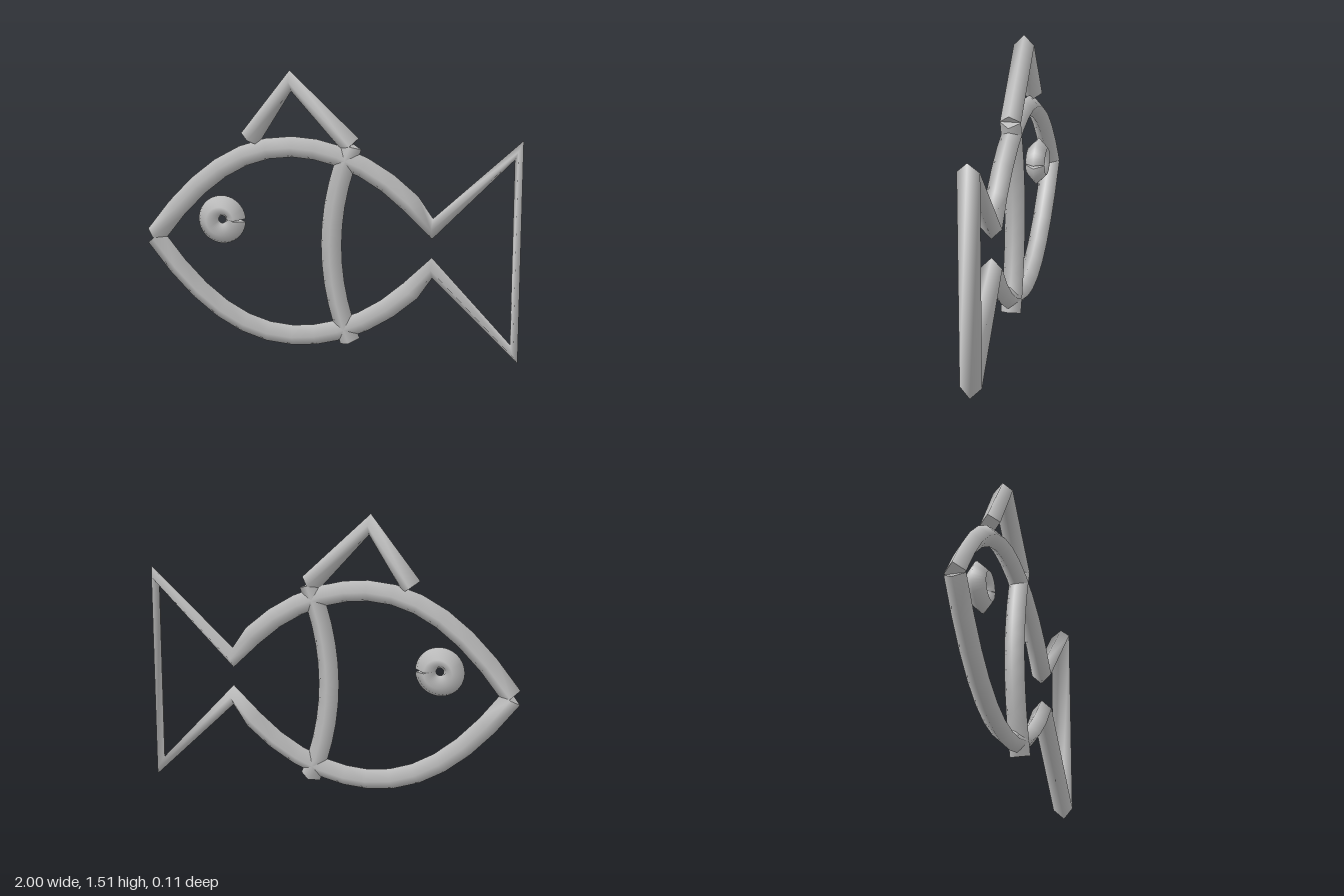
import * as THREE from 'three';

const R = 0.055; // half width of the diamond-section bar
const grey = new THREE.MeshStandardMaterial({ color: 0xc0c0c0, side: THREE.DoubleSide });
grey.name = 'grey';

const V = (x, y) => new THREE.Vector2(x, y);

// Sweeps a smooth-shaded diamond section along an open path in the xy plane.
// Corner rings lie on the bisector and keep their size, so sharp corners pinch.
function bar(name, path) {
  const pos = [], idx = [], last = path.length - 1;
  const ring = (i) => {
    const p = path[i], t = V(0, 0);
    if (i > 0) t.add(p.clone().sub(path[i - 1]).normalize());
    if (i < last) t.add(path[i + 1].clone().sub(p).normalize());
    t.normalize().multiplyScalar(R);
    pos.push(p.x - t.y, p.y + t.x, 0, p.x, p.y, R, p.x + t.y, p.y - t.x, 0, p.x, p.y, -R);
  };
  path.forEach((p, i) => ring(i));
  for (let i = 0; i < last; i++) {
    for (let j = 0; j < 4; j++) {
      const a = i * 4 + j, b = i * 4 + (j + 1) % 4;
      idx.push(a, b, b + 4, a, b + 4, a + 4);
    }
  }
  // flat end caps on their own vertices
  const s = pos.length / 3;
  ring(0);
  ring(last);
  idx.push(s, s + 2, s + 1, s, s + 3, s + 2, s + 4, s + 5, s + 6, s + 4, s + 6, s + 7);

  const g = new THREE.BufferGeometry();
  g.setAttribute('position', new THREE.Float32BufferAttribute(pos, 3));
  g.setIndex(idx);
  g.computeVertexNormals();
  const mesh = new THREE.Mesh(g, grey);
  mesh.name = name;
  return mesh;
}

export function createModel() {
  const model = new THREE.Group();
  model.name = 'fishOutline';

  // Back curve from mouth to tail root; the belly is its mirror
  const midY = 0.596;
  const back = [
    ...new THREE.CubicBezierCurve(V(-0.96, 0.6), V(-0.715, 0.94), V(-0.475, 1.107), V(-0.2, 1.107)).getPoints(6),
    ...new THREE.CubicBezierCurve(V(-0.2, 1.107), V(0.035, 1.107), V(0.33, 0.985), V(0.545, 0.7)).getPoints(6).slice(1),
  ];
  const belly = back.map((p) => V(p.x, 2 * midY - p.y)).reverse();

  // Body and tail are one continuous stroke
  model.add(bar('bodyAndTail', [...back, V(0.98, 1.125), V(0.98, 0.052), ...belly]));

  // Curved gill line
  model.add(bar('gill', new THREE.QuadraticBezierCurve(V(0.112, 0.07), V(-0.095, midY), V(0.117, 1.122)).getPoints(10)));

  // Top fin
  model.add(bar('topFin', [V(-0.43, 1.14), V(-0.208, 1.452), V(0.115, 1.123)]));

  // Eye ring with a small slit on its tail side
  const eye = [], n = 40, gap = 0.03;
  for (let i = 0; i <= n; i++) {
    const a = gap + (i / n) * (Math.PI * 2 - 2 * gap);
    eye.push(V(-0.585 + 0.075 * Math.cos(a), 0.703 + 0.075 * Math.sin(a)));
  }
  model.add(bar('eye', eye));

  return model;
}
